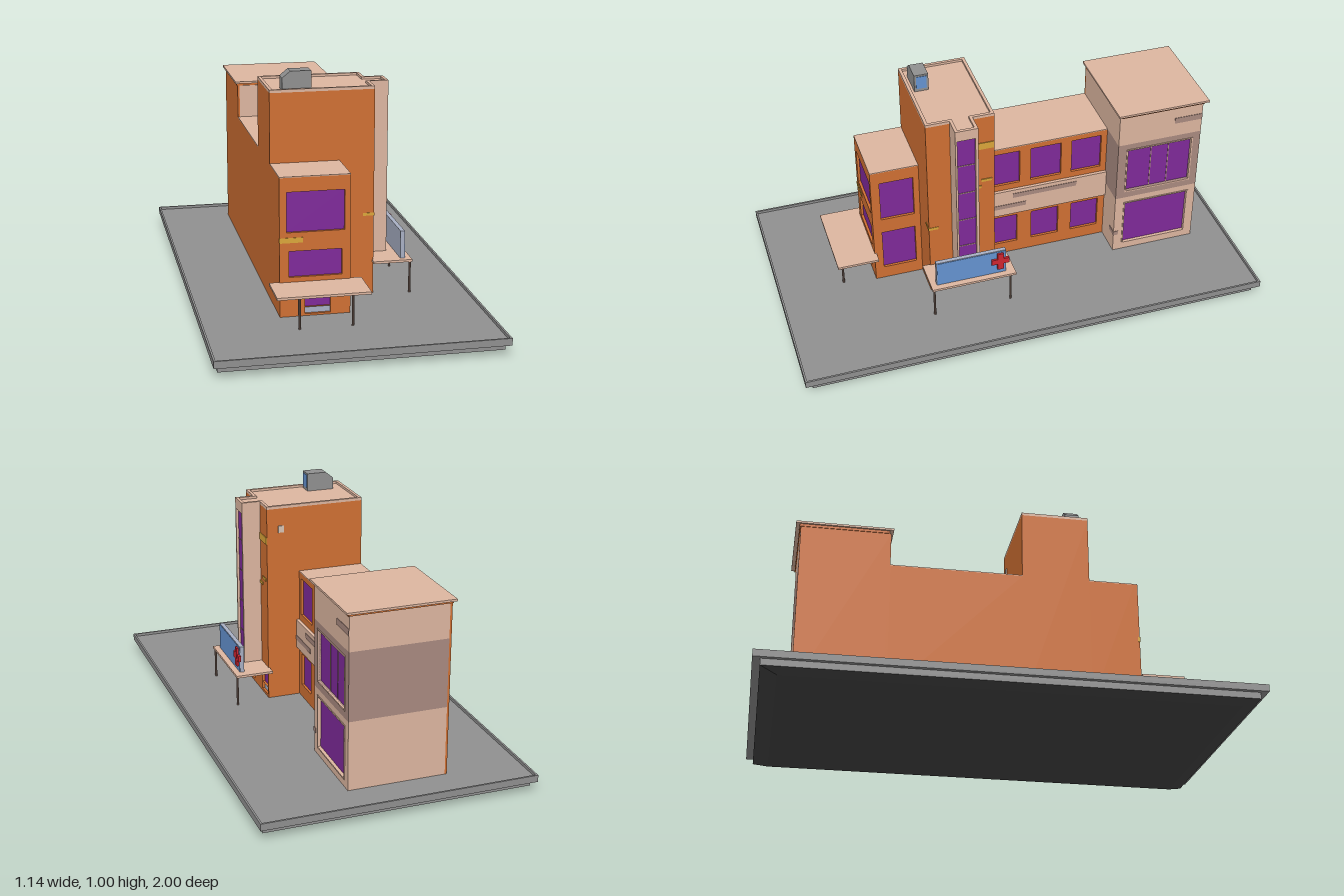
import * as THREE from 'three';

const C = {
  orange: 0xd07033, pink: 0xddb6a0, mauve: 0xa98a80, purple: 0x7f2a9a, grey: 0x909090,
  dark: 0x444444, yellow: 0xdba63a, blue: 0x6594d2, pale: 0xa9b0c4, red: 0xd02530, post: 0x7d665c, lamp: 0xd8c4b4,
};
const mats = {};
const mat = (c) => (mats[c] ??= new THREE.MeshStandardMaterial({ color: C[c], flatShading: true }));
const GROUND = 0.064, RECESS = 0.014;

export function createModel() {
  const root = new THREE.Group();
  let parent = root;

  const group = (name, build) => {
    parent = new THREE.Group();
    parent.name = name;
    root.add(parent);
    build();
    parent = root;
  };
  const add = (name, color, geo) => {
    const m = new THREE.Mesh(geo, mat(color));
    m.name = name;
    parent.add(m);
    return m;
  };
  const box = (name, color, x0, x1, y0, y1, z0, z1) => {
    const g = new THREE.BoxGeometry(x1 - x0, y1 - y0, z1 - z0);
    return add(name, color, g.translate((x0 + x1) / 2, (y0 + y1) / 2, (z0 + z1) / 2));
  };
  const rect = (P, a, b, c, d) => {
    const p = new P();
    p.moveTo(a, c).lineTo(b, c).lineTo(b, d).lineTo(a, d).closePath();
    return p;
  };
  const poly = (P, pts) => new P(pts.map(([x, y]) => new THREE.Vector2(x, y)));
  const extrude = (shape, depth) => new THREE.ExtrudeGeometry(shape, { depth, bevelEnabled: false });

  // Wall panel with window openings [from, to, bottom, top] and panes set at the back.
  // side 'z': outer face at z = at, spans x. side 'x': outer face at x = at, spans z.
  const facade = (color, side, at, a, b, y0, y1, windows) => {
    const alongZ = side === 'x';
    const s = alongZ ? -1 : 1;
    const R = (P, w) => rect(P, Math.min(s * w[0], s * w[1]), Math.max(s * w[0], s * w[1]), w[2], w[3]);
    const shape = R(THREE.Shape, [a, b, y0, y1]);
    shape.holes = windows.map((w) => R(THREE.Path, w));
    const g = extrude(shape, RECESS);
    if (alongZ) g.rotateY(Math.PI / 2).translate(at - RECESS, 0, 0);
    else g.translate(0, 0, at - RECESS);
    add('facade', color, g);
    for (const [p, q, c, d, tint = 'purple'] of windows) {
      const i = at - RECESS - 0.002, o = at - RECESS + 0.003;
      if (alongZ) box('windowPane', tint, i, o, c, d, p, q);
      else box('windowPane', tint, p, q, c, d, i, o);
    }
  };

  group('base', () => {
    const rim = rect(THREE.Shape, -0.57, 0.57, -1, 1);
    rim.holes.push(rect(THREE.Path, -0.562, 0.562, -0.992, 0.992));
    add('rim', 'grey', extrude(rim, 0.012).rotateX(-Math.PI / 2).translate(0, 0.064, 0));
    box('groundSlab', 'grey', -0.57, 0.57, 0.047, 0.064, -1, 1);
    box('lowerSlab', 'grey', -0.553, 0.553, 0.02, 0.047, -0.97, 0.97);
    const foot = new THREE.BoxGeometry(1.106, 0.02, 1.94).translate(0, 0.01, 0);
    const p = foot.attributes.position;
    for (let i = 0; i < p.count; i++) {
      if (p.getY(i) < 0.01) p.setXYZ(i, p.getX(i) * 0.932, 0, p.getZ(i) * 0.932);
    }
    foot.computeVertexNormals();
    add('taperedFoot', 'dark', foot);
  });

  group('frontBlock', () => {
    box('core', 'orange', -0.249, 0.036 - RECESS, GROUND, 0.634, 0.36, 0.578 - RECESS);
    facade('orange', 'z', 0.578, -0.249, 0.036, GROUND, 0.634, [
      [-0.22, 0.012, 0.412, 0.576], [-0.212, 0.002, 0.228, 0.335],
      [-0.147, -0.045, 0.1, 0.165], [-0.147, -0.045, 0.072, 0.1, 'pale'],
    ]);
    facade('orange', 'x', 0.036, 0.37, 0.578 - RECESS, GROUND, 0.634,
      [[0.395, 0.54, 0.385, 0.578], [0.395, 0.54, 0.122, 0.315]]);
    box('roof', 'pink', -0.249, 0.036, 0.634, 0.638, 0.36, 0.578);
    box('yellowPatch', 'yellow', -0.25, -0.155, 0.37, 0.391, 0.57, 0.58);
  });

  group('tower', () => {
    box('core', 'orange', -0.249, 0.18 - RECESS, GROUND, 0.925, 0.083, 0.37);
    const door = (a, b) => [[a, b, 0.11, 0.19], [a, b, 0.075, 0.11, 'pale']];
    facade('orange', 'x', 0.18, 0.083, 0.37, GROUND, 0.925, [...door(0.283, 0.355), ...door(0.093, 0.17)]);
    // stair bay with one tall window
    box('stairBay', 'pink', 0.17, 0.26 - RECESS, 0.205, 0.925, 0.174, 0.27);
    facade('pink', 'x', 0.26, 0.174, 0.27, 0.205, 0.925, [[0.186, 0.262, 0.225, 0.89]]);
    for (let i = 0; i < 4; i++) {
      const y = 0.34 + i * 0.139;
      box('windowBar', 'mauve', 0.246, 0.251, y - 0.002, y + 0.002, 0.186, 0.262);
    }
    // T-shaped roof and parapet, drawn as (x, -z)
    const outline = (t) => [
      [-0.249 + t, -0.37 + t], [0.18 - t, -0.37 + t], [0.18 - t, -0.27 + t], [0.26 - t, -0.27 + t],
      [0.26 - t, -0.174 - t], [0.18 - t, -0.174 - t], [0.18 - t, -0.083 - t], [-0.249 + t, -0.083 - t],
    ];
    const lay = (g, y) => g.rotateX(-Math.PI / 2).translate(0, y, 0);
    const ring = poly(THREE.Shape, outline(0));
    ring.holes.push(poly(THREE.Path, outline(0.013)));
    add('parapet', 'pink', lay(extrude(ring, 0.012), 0.925));
    add('roof', 'pink', lay(extrude(poly(THREE.Shape, outline(0.012)), 0.003), 0.924));
    // peeled paint patches
    box('yellowPatch', 'yellow', 0.135, 0.182, 0.398, 0.41, 0.33, 0.372);
    box('yellowPatch', 'yellow', 0.17, 0.183, 0.77, 0.801, 0.085, 0.174);
    box('yellowPatch', 'yellow', 0.17, 0.184, 0.573, 0.585, 0.14, 0.174);
    box('yellowPatch', 'yellow', 0.17, 0.184, 0.604, 0.616, 0.095, 0.14);
    box('wallPlate', 'lamp', 0.105, 0.13, 0.82, 0.85, 0.079, 0.084);
    box('wallLamp', 'post', 0.18, 0.186, 0.153, 0.172, 0.265, 0.278);
  });

  group('roofUnit', () => {
    const s = poly(THREE.Shape, [[-0.193, 0.926], [-0.075, 0.926], [-0.075, 1.005], [-0.16, 1.005], [-0.193, 0.978]]);
    add('housing', 'grey', extrude(s, 0.06).translate(0, 0, 0.285));
    box('grille', 'blue', -0.078, -0.073, 0.94, 0.997, 0.293, 0.337);
  });

  group('middleWing', () => {
    box('core', 'orange', -0.249, 0.036 - RECESS, GROUND, 0.634, -0.48, 0.085);
    const upper = [[-0.075, 0.059], [-0.262, -0.125], [-0.444, -0.31]].map(([a, b]) => [a, b, 0.445, 0.61]);
    const lower = [[-0.065, 0.052], [-0.255, -0.13], [-0.44, -0.315]].map(([a, b]) => [a, b, 0.12, 0.266]);
    facade('orange', 'x', 0.036, -0.47, 0.085, GROUND, 0.634, [...upper, ...lower]);
    box('roof', 'pink', -0.249, 0.036, 0.634, 0.638, -0.47, 0.085);
    box('balconyBand', 'pink', 0.02, 0.05, 0.288, 0.416, -0.47, 0.085);
    box('stain', 'mauve', 0.045, 0.052, 0.376, 0.398, -0.33, -0.04);
    box('stain', 'mauve', 0.045, 0.052, 0.325, 0.345, -0.1, 0.08);
  });

  group('backBlock', () => {
    const X = 0.168, Z0 = -0.845, Z1 = -0.47;
    box('sideWall', 'orange', -0.249, -0.24, GROUND, 0.782, Z0, Z1);
    // stacked wall colours: pink, mauve band, pink
    const low = [-0.805, -0.515, 0.1, 0.32], high = [-0.805, -0.515, 0.39, 0.605];
    const layers = [['pink', GROUND, 0.353, [low]], ['mauve', 0.353, 0.638, [high]], ['pink', 0.638, 0.782, []]];
    for (const [color, y0, y1, windows] of layers) {
      box('wall', color, -0.24, X - RECESS, y0, y1, Z0, Z1);
      facade(color, 'x', X, Z0, Z1, y0, y1, windows);
    }
    // pale window frames
    for (const [a, b, c, d] of [low, high]) {
      const f = 0.006;
      const frame = rect(THREE.Shape, -b - f, -a + f, c - f, d + f);
      frame.holes.push(rect(THREE.Path, -b, -a, c, d));
      add('windowFrame', 'pink', extrude(frame, 0.016).rotateY(Math.PI / 2).translate(X - 0.013, 0, 0));
    }
    for (const z of [-0.625, -0.705]) box('windowBar', 'mauve', 0.154, 0.159, 0.39, 0.605, z - 0.002, z + 0.002);
    box('cornice', 'orange', -0.252, 0.174, 0.782, 0.793, -0.85, -0.476);
    box('roofSlab', 'pink', -0.26, 0.185, 0.793, 0.802, -0.865, -0.46);
    box('stain', 'mauve', 0.16, 0.17, 0.703, 0.73, Z0, -0.72);
    box('stain', 'mauve', 0.12, 0.17, 0.15, 0.17, -0.49, -0.468);
  });

  const canopy = (name, x0, x1, z0, z1, posts) => group(name, () => {
    box('canopySlab', 'pink', x0, x1, 0.198, 0.208, z0, z1);
    for (const [x, z] of posts) {
      add('post', 'post', new THREE.CylinderGeometry(0.005, 0.005, 0.136, 8).translate(x, 0.131, z));
    }
  });
  canopy('frontCanopy', -0.29, 0.082, 0.57, 0.748, [[-0.197, 0.718], [0.015, 0.718]]);
  canopy('sideCanopy', 0.175, 0.338, 0.036, 0.403, [[0.329, 0.394], [0.329, 0.06]]);

  group('signBoard', () => {
    box('board', 'pale', 0.293, 0.311, 0.206, 0.325, 0.075, 0.378);
    box('boardFace', 'blue', 0.309, 0.313, 0.209, 0.322, 0.078, 0.375);
    box('crossUpright', 'red', 0.31, 0.322, 0.232, 0.315, 0.088, 0.114);
    box('crossBar', 'red', 0.31, 0.3215, 0.261, 0.287, 0.062, 0.14);
  });

  return root;
}
